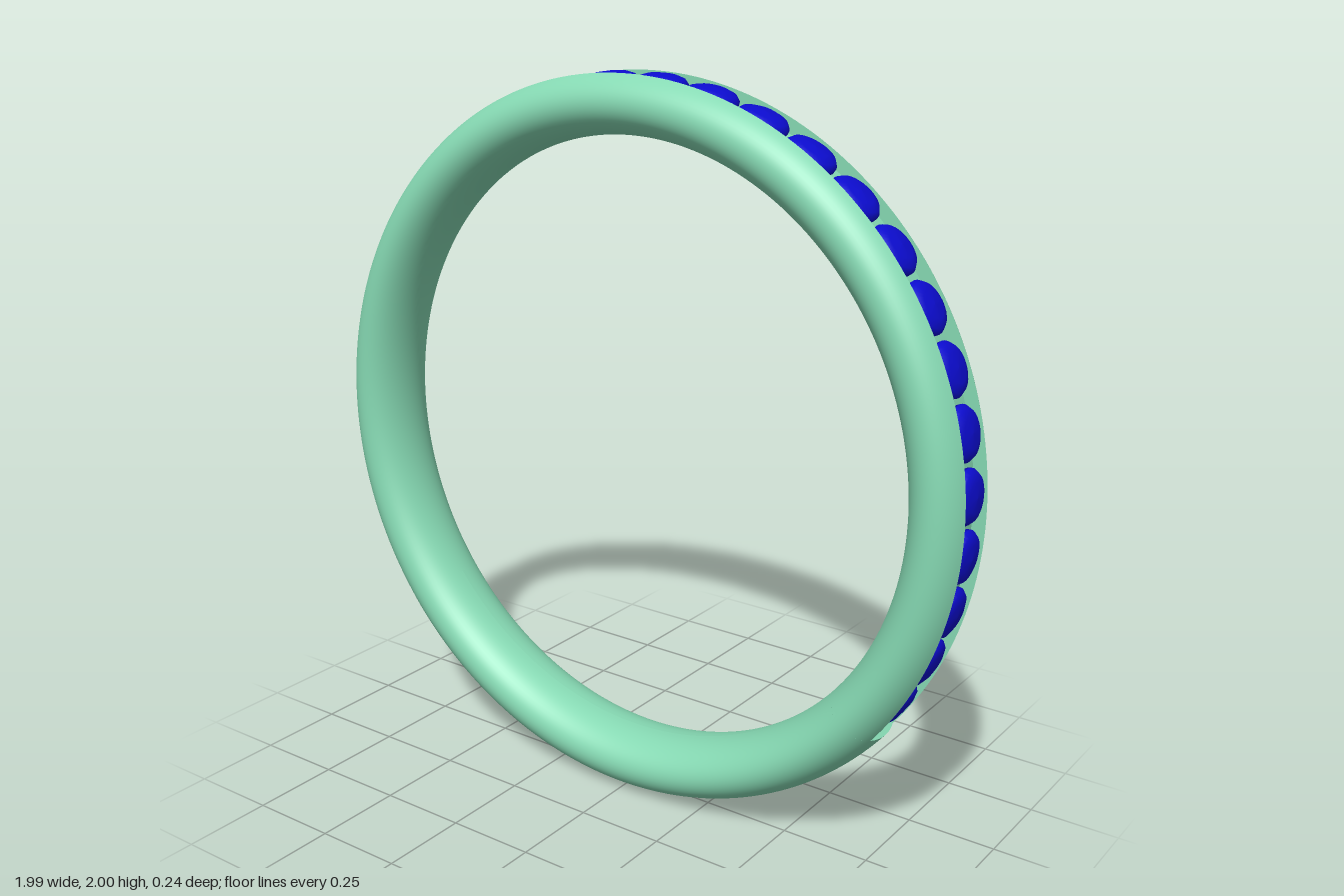
import * as THREE from 'three';

const CENTRE_Y = 1.005;
const MID = 0.92, RADIAL = 0.085, HALF_WIDTH = 0.118; // elliptical band section
const CHANNEL = 0.06, FLOOR = 0.957;                  // channel half width and floor radius
const END = 2.243;                                    // channel end, angle from the top
const GEMS = 28, STEP = 0.159;

const metal = new THREE.MeshStandardMaterial({ color: 0x86d9b3, side: THREE.DoubleSide });
const blue = new THREE.MeshStandardMaterial({ color: 0x0c0cd0 });

// Points of the section (radius, width) between two angles; angle 0 is the outer crown
function section(from, to, n) {
  return Array.from({ length: n + 1 }, (_, i) => {
    const a = from + ((to - from) * i) / n;
    return new THREE.Vector2(MID + RADIAL * Math.cos(a), HALF_WIDTH * Math.sin(a));
  });
}

// Sweep a section around the z axis; angles run from the top
function sweep(name, points, start, length, segments) {
  const geometry = new THREE.LatheGeometry(points, segments, start, length);
  geometry.rotateX(-Math.PI / 2);
  const mesh = new THREE.Mesh(geometry, metal);
  mesh.name = name;
  return mesh;
}

export function createModel() {
  const model = new THREE.Group();
  model.name = 'ring';
  const ring = new THREE.Group();
  ring.name = 'band';
  ring.position.y = CENTRE_Y;
  model.add(ring);

  // Plain lower band
  ring.add(sweep('plainBand', section(-Math.PI, Math.PI, 56), END, 2 * (Math.PI - END), 64));

  // Upper band, open along the crown, with channel walls and floor
  const lip = Math.asin(CHANNEL / HALF_WIDTH);
  const lipRadius = MID + RADIAL * Math.cos(lip);
  ring.add(sweep('channelBand', section(lip, 2 * Math.PI - lip, 48), -END, 2 * END, 160));
  const v = (r, z) => new THREE.Vector2(r, z);
  ring.add(sweep('channelFloor', [v(FLOOR, -CHANNEL), v(FLOOR, CHANNEL)], -END, 2 * END, 160));
  ring.add(sweep('channelWallFront', [v(FLOOR, CHANNEL), v(lipRadius, CHANNEL)], -END, 2 * END, 160));
  ring.add(sweep('channelWallBack', [v(lipRadius, -CHANNEL), v(FLOOR, -CHANNEL)], -END, 2 * END, 160));

  // End walls closing the channel
  const endShape = new THREE.Shape([v(FLOOR, CHANNEL), v(FLOOR, -CHANNEL), ...section(-lip, lip, 12)]);
  for (const side of [-1, 1]) {
    const geometry = new THREE.ShapeGeometry(endShape);
    geometry.rotateX(Math.PI / 2);
    geometry.rotateZ(Math.PI / 2 - side * END);
    const wall = new THREE.Mesh(geometry, metal);
    wall.name = side > 0 ? 'channelEndLeft' : 'channelEndRight';
    ring.add(wall);
  }

  // Round domed gems set in the channel
  const gemGeometry = new THREE.LatheGeometry(
    [v(0, 0.93), v(0.069, 0.962), v(0.07, 0.972), v(0.06, 0.985), v(0.038, 0.993), v(0, 0.996)], 28);
  const gems = new THREE.Group();
  gems.name = 'gems';
  for (let i = 0; i < GEMS; i++) {
    const gem = new THREE.Mesh(gemGeometry, blue);
    gem.name = 'gem';
    gem.rotation.z = -(i - (GEMS - 1) / 2) * STEP;
    gems.add(gem);
  }
  ring.add(gems);
  return model;
}
